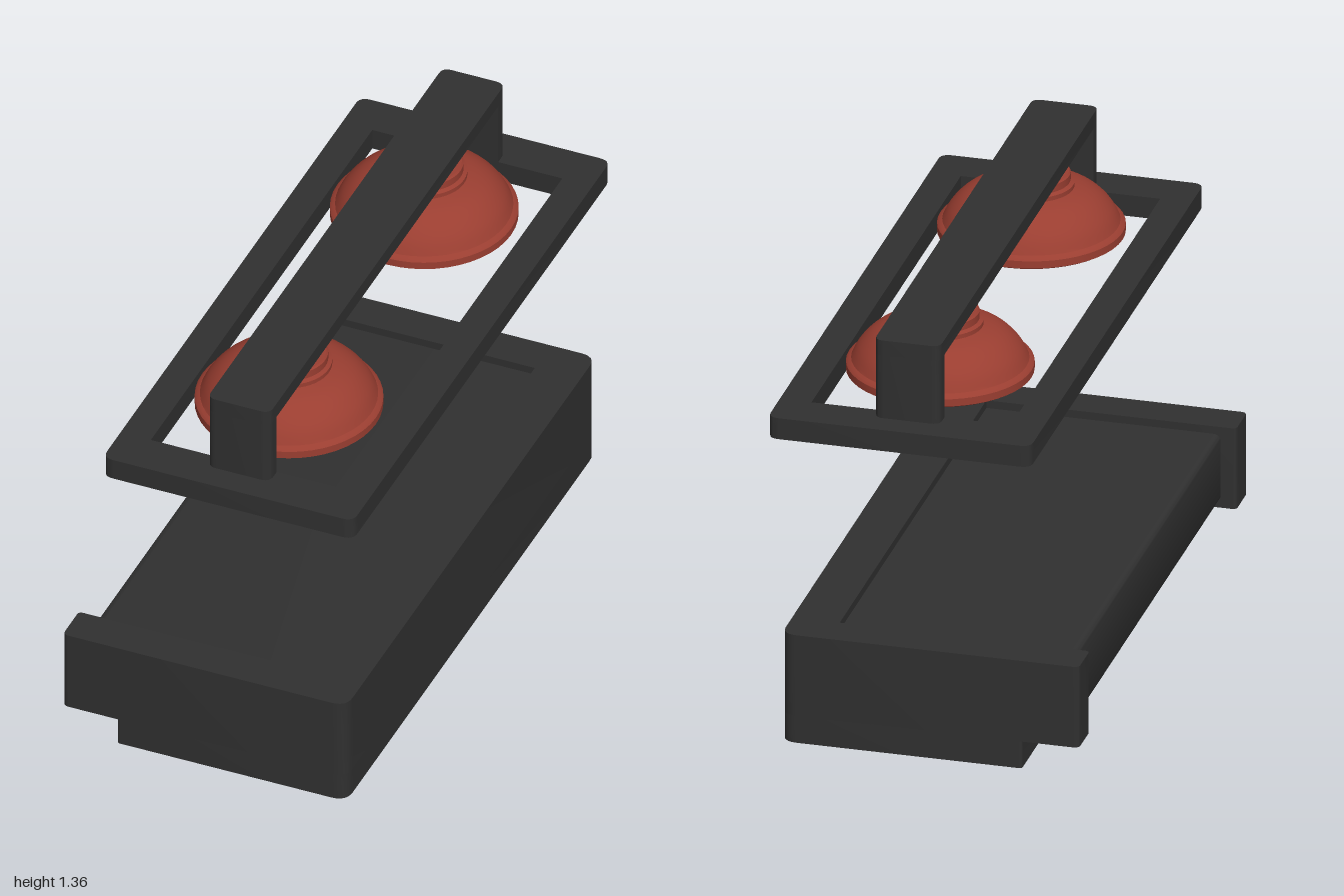
import * as THREE from 'three';
import { toCreasedNormals } from 'three/addons/utils/BufferGeometryUtils.js';

const dark = new THREE.MeshStandardMaterial({ color: 0x303030 });
const red = new THREE.MeshStandardMaterial({ color: 0x9a3e31, side: THREE.DoubleSide });

// Closed outline from corners [x, y, radius], each corner rounded by its radius
function outline(corners, Type = THREE.Shape) {
  const path = new Type();
  const n = corners.length;
  corners.forEach(([x, y, r = 0], i) => {
    const p = new THREE.Vector2(x, y);
    const toward = ([a, b]) => new THREE.Vector2(a, b).sub(p).setLength(r).add(p);
    const a = toward(corners[(i + n - 1) % n]);
    const b = toward(corners[(i + 1) % n]);
    if (i === 0) path.moveTo(a.x, a.y);
    else path.lineTo(a.x, a.y);
    if (r > 0) path.quadraticCurveTo(x, y, b.x, b.y);
  });
  path.closePath();
  return path;
}

const rect = (x0, x1, z, r0, r1 = r0) => [[x0, -z, r0], [x1, -z, r1], [x1, z, r1], [x0, z, r0]];

function mesh(name, geometry, material) {
  const m = new THREE.Mesh(toCreasedNormals(geometry, 0.6), material);
  m.name = name;
  return m;
}

// Plan outline raised from y0 to y1
function slab(name, shape, y0, y1) {
  const g = new THREE.ExtrudeGeometry(shape, { depth: y1 - y0, bevelEnabled: false, curveSegments: 6 });
  g.rotateX(-Math.PI / 2).translate(0, y0, 0);
  return mesh(name, g, dark);
}

function bellProfile() {
  const dome = new THREE.SplineCurve([
    [0.272, 1.138], [0.25, 1.178], [0.215, 1.215], [0.175, 1.239], [0.132, 1.252],
  ].map(([r, y]) => new THREE.Vector2(r, y))).getPoints(14);
  const v = (r, y) => new THREE.Vector2(r, y);
  return [
    v(0.28, 1.097), v(0.288, 1.102), v(0.288, 1.126), v(0.282, 1.133),
    ...dome,
    v(0.132, 1.266), v(0.12, 1.272), v(0.12, 1.296), v(0.115, 1.301), v(0, 1.301),
  ];
}

export function createModel() {
  const model = new THREE.Group();
  model.name = 'bellBox';

  // Base: lower plinth, C-shaped rim with two end tabs, sunken panel
  const base = new THREE.Group();
  base.name = 'base';
  base.add(slab('plinth', outline(rect(-0.31, 0.45, 0.97, 0.01, 0.05)), 0, 0.09));
  base.add(slab('rim', outline([
    [-0.49, -0.97, 0.02], [0.45, -0.97, 0.05], [0.45, 0.97, 0.05], [-0.49, 0.97, 0.02],
    [-0.49, 0.845, 0.015], [0.30, 0.845], [0.30, -0.845], [-0.49, -0.845, 0.015],
  ]), 0.09, 0.36));
  const panelGeo = new THREE.ExtrudeGeometry(outline([
    [-0.42, 0.09], [0.30, 0.09], [0.30, 0.335], [-0.44, 0.335, 0.025], [-0.44, 0.12, 0.01], [-0.42, 0.11],
  ]), { depth: 1.69, bevelEnabled: false, curveSegments: 6 });
  panelGeo.translate(0, 0, -0.845);
  base.add(mesh('panel', panelGeo, dark));
  model.add(base);

  // Open frame floating above the base
  const frameShape = outline(rect(-0.345, 0.485, 1, 0.035));
  frameShape.holes.push(outline(rect(-0.245, 0.385, 0.86, 0), THREE.Path));
  model.add(slab('frame', frameShape, 1.025, 1.095));

  // Handle bar on two legs
  const handle = new THREE.Group();
  handle.name = 'handle';
  handle.add(slab('handleBar', outline(rect(-0.035, 0.172, 0.915, 0.03)), 1.305, 1.355));
  for (const s of [1, -1]) {
    const outer = 0.915 * s, inner = 0.86 * s;
    const pts = [[-0.035, inner], [0.172, inner], [0.172, outer, 0.03], [-0.035, outer, 0.03]];
    handle.add(slab(s > 0 ? 'backLeg' : 'frontLeg', outline(s > 0 ? pts : pts.reverse()), 1.095, 1.305));
  }
  model.add(handle);

  // Two hollow bells hung below the handle
  for (const z of [0.525, -0.525]) {
    const bell = mesh(z > 0 ? 'frontBell' : 'backBell', new THREE.LatheGeometry(bellProfile(), 48), red);
    bell.position.set(0.07, 0, z);
    model.add(bell);
  }
  return model;
}
